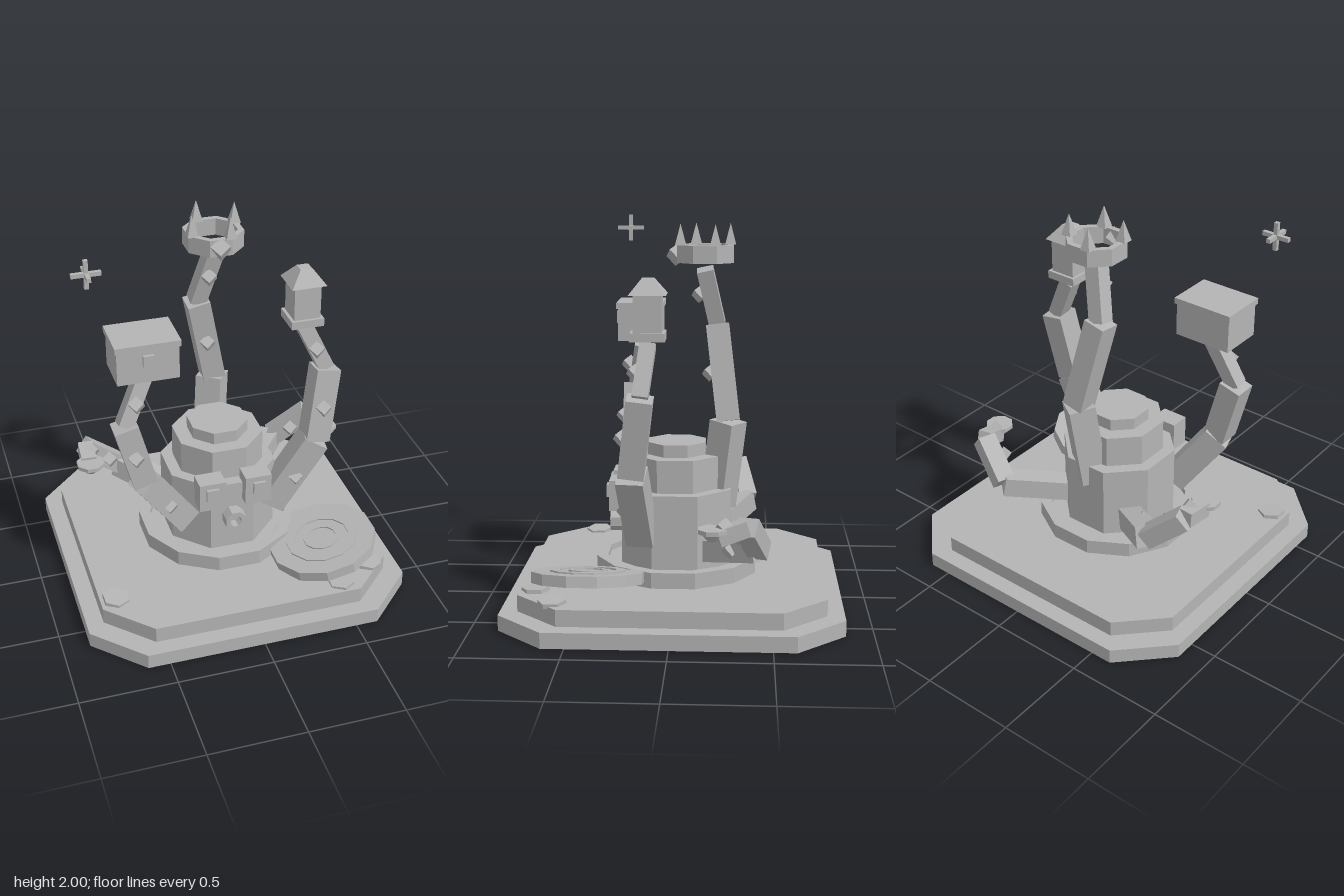
import * as THREE from 'three';

const stone = new THREE.MeshStandardMaterial({ color: 0xb4b4b4 });
stone.name = 'stone grey';

const V = (a) => new THREE.Vector3(...a);

// Adds a faceted mesh to a parent
function add(parent, name, geometry, pos = [0, 0, 0], rot = [0, 0, 0]) {
  const g = geometry.index ? geometry.toNonIndexed() : geometry;
  g.computeVertexNormals();
  const m = new THREE.Mesh(g, stone);
  m.name = name;
  m.position.set(...pos);
  m.rotation.set(...rot);
  parent.add(m);
  return m;
}

const box = (w, h, d) => new THREE.BoxGeometry(w, h, d);

// Prism measured across its flats, with a flat side to the front
function prism(top, bottom, h, n = 8) {
  const k = 1 / Math.cos(Math.PI / n);
  return new THREE.CylinderGeometry(top * k, bottom * k, h, n).rotateY(Math.PI / n);
}

// Faceted solid of revolution with a flat side to the front
function turned(points, n) {
  const k = 1 / Math.cos(Math.PI / n);
  const p = points.map(([r, y]) => new THREE.Vector2(r * k, y));
  return new THREE.LatheGeometry(p, n).rotateY(Math.PI / n);
}

// Square slab with cut corners
function slab(half, corner, h) {
  const a = half, c = corner;
  const pts = [[a, -c], [a, c], [c, a], [-c, a], [-a, c], [-a, -c], [-c, -a], [c, -a]];
  const shape = new THREE.Shape(pts.map(([x, y]) => new THREE.Vector2(x, y)));
  return new THREE.ExtrudeGeometry(shape, { depth: h, bevelEnabled: false }).rotateX(-Math.PI / 2);
}

// Square beam between two points; level keeps its sides upright
function beam(parent, name, from, to, w, level) {
  const a = V(from), b = V(to);
  const d = b.clone().sub(a);
  const m = add(parent, name, box(w, d.length(), w));
  m.position.copy(a).add(b).multiplyScalar(0.5);
  d.normalize();
  if (level) {
    const side = new THREE.Vector3(0, 1, 0).cross(d).normalize();
    m.quaternion.setFromRotationMatrix(
      new THREE.Matrix4().makeBasis(side, d, side.clone().cross(d)));
  } else {
    m.quaternion.setFromUnitVectors(new THREE.Vector3(0, 1, 0), d);
  }
}

function tentacle(parent, name, joints, widths, suckers, level = false) {
  const g = new THREE.Group();
  g.name = name;
  parent.add(g);
  widths.forEach((w, i) => beam(g, 'armSegment', joints[i], joints[i + 1], w, level || i === 0));
  suckers.forEach((p) => add(g, 'sucker', box(0.056, 0.056, 0.056), p, [0.6, 0.6, 0.3]));
}

export function createModel() {
  const model = new THREE.Group();

  // Stepped plinth
  add(model, 'lowerPlinth', slab(0.86, 0.615, 0.08));
  add(model, 'upperPlinth', slab(0.772, 0.55, 0.085), [0, 0.08, 0]);

  // Rim around the opening
  add(model, 'openingRim', turned(
    [[0.36, 0.165], [0.417, 0.165], [0.417, 0.247], [0.36, 0.247], [0.36, 0.215], [0.2, 0.215]], 12));

  // Tiered body
  [[0.285, 0.17, 0.612], [0.225, 0.612, 0.785], [0.15, 0.785, 0.85]].forEach(([r, y0, y1]) =>
    add(model, 'bodyTier', prism(r, r, y1 - y0), [0, (y0 + y1) / 2, 0]));

  // Eyes and pupils
  for (const s of [-1, 1]) {
    add(model, 'eye', box(0.142, 0.16, 0.108), [s * 0.124, 0.59, 0.289]);
    add(model, 'pupil', box(0.066, 0.066, 0.03), [s * 0.127, 0.608, 0.345]);
  }

  // Spout mouth
  add(model, 'mouth', turned(
    [[0.03, 0.02], [0.03, 0], [0.055, 0], [0.055, 0.075], [0.03, 0.075], [0.03, 0.02], [0, 0.02]], 8),
    [0, 0.415, 0.277], [Math.PI / 2, 0, 0]);

  // Raised arms
  tentacle(model, 'rightFrontArm',
    [[-0.245, 0.39, 0.19], [-0.47, 0.72, 0.265], [-0.56, 1.06, 0.26], [-0.444, 1.308, 0.215]],
    [0.14, 0.125, 0.078],
    [[-0.34, 0.54, 0.285], [-0.518, 0.89, 0.325], [-0.5, 1.185, 0.29]]);
  tentacle(model, 'leftFrontArm',
    [[0.243, 0.385, 0.17], [0.475, 0.765, 0.203], [0.54, 1.16, 0.154], [0.423, 1.408, 0.122]],
    [0.14, 0.13, 0.08],
    [[0.364, 0.557, 0.245], [0.507, 0.96, 0.245], [0.48, 1.28, 0.18]]);
  tentacle(model, 'backArm',
    [[0.015, 0.5, -0.215], [0.052, 0.965, -0.27], [-0.05, 1.455, -0.21], [0.027, 1.75, -0.145]],
    [0.14, 0.12, 0.085],
    [[0, 1.21, -0.175], [-0.005, 1.62, -0.12]]);

  // Low arms
  tentacle(model, 'rightBackArm',
    [[-0.22, 0.32, -0.19], [-0.47, 0.42, -0.37], [-0.66, 0.59, -0.31], [-0.67, 0.58, -0.16]],
    [0.115, 0.1, 0.08],
    [[-0.34, 0.385, -0.225], [-0.53, 0.5, -0.29], [-0.64, 0.61, -0.24]], true);
  tentacle(model, 'leftBackArm',
    [[0.21, 0.315, -0.17], [0.455, 0.385, -0.435], [0.65, 0.555, -0.37], [0.68, 0.51, -0.23]],
    [0.11, 0.1, 0.08],
    [[0.38, 0.36, -0.29], [0.54, 0.48, -0.335], [0.67, 0.56, -0.26]], true);

  // Cupped discs at the low arm tips
  for (const p of [[-0.668, 0.597, -0.135], [0.688, 0.546, -0.205]]) {
    add(model, 'tipDisc', prism(0.07, 0.07, 0.022), p);
    add(model, 'tipDiscBase', prism(0.055, 0.025, 0.04), [p[0], p[1] - 0.03, p[2]]);
  }

  // Chest with lid and latch
  const chest = new THREE.Group();
  chest.name = 'chest';
  chest.position.set(-0.445, 1.335, 0.218);
  model.add(chest);
  add(chest, 'chestBody', box(0.312, 0.18, 0.235), [0, 0.09, 0]);
  add(chest, 'chestLid', box(0.33, 0.032, 0.253), [0, 0.192, 0]);
  add(chest, 'chestLatch', box(0.055, 0.066, 0.03), [0, 0.117, 0.12]);

  // Square tower with a cut pyramid roof
  const tower = new THREE.Group();
  tower.name = 'tower';
  tower.position.set(0.417, 1.43, 0.121);
  model.add(tower);
  add(tower, 'towerFoot', box(0.172, 0.042, 0.172), [0, 0.021, 0]);
  add(tower, 'towerWalls', box(0.14, 0.185, 0.14), [0, 0.134, 0]);
  add(tower, 'towerRoof', prism(0.03, 0.092, 0.078, 4), [0, 0.264, 0]);

  // Crown with spikes and jewel
  const crown = new THREE.Group();
  crown.name = 'crown';
  crown.position.set(0.024, 1.785, -0.148);
  model.add(crown);
  add(crown, 'crownBand', turned(
    [[0.115, 0], [0.145, 0], [0.145, 0.09], [0.115, 0.09], [0.115, 0]], 8));
  for (let i = 0; i < 4; i++) {
    const a = Math.PI / 8 + (i * Math.PI) / 2;
    add(crown, 'crownSpike', prism(0, 0.028, 0.11, 4),
      [Math.sin(a) * 0.137, 0.143, Math.cos(a) * 0.137]);
  }
  add(crown, 'crownJewel', box(0.07, 0.07, 0.07), [-0.003, 0.04, 0.145], [0.6, 0.6, 0.3]);

  // Floating sparkle
  const sparkle = new THREE.Group();
  sparkle.name = 'sparkle';
  sparkle.position.set(-0.717, 1.93, 0.297);
  model.add(sparkle);
  [[0.144, 0.021, 0.021], [0.021, 0.144, 0.021], [0.021, 0.021, 0.144]].forEach((s) =>
    add(sparkle, 'sparkleBar', box(...s)));

  // Tilted round cover with raised rings
  add(model, 'roundCover', turned(
    [[0, -0.028], [0.278, -0.028], [0.278, 0.028], [0.187, 0.028], [0.187, 0.036], [0.14, 0.036],
      [0.14, 0.028], [0.095, 0.028], [0.095, 0.036], [0.074, 0.036], [0.074, 0.028], [0, 0.028]], 12),
    [0.462, 0.238, 0.425], [0, 0, 0.2]);

  // Loose flat stones
  [[-0.69, 0.49, 0.08], [0.47, 0.69, -0.06], [0.665, 0.58, 0.07]].forEach(([x, z, tilt]) =>
    add(model, 'looseStone', new THREE.CylinderGeometry(0.072, 0.072, 0.024, 6),
      [x, 0.17, z], [0.04, 0, -tilt]));

  return model;
}
